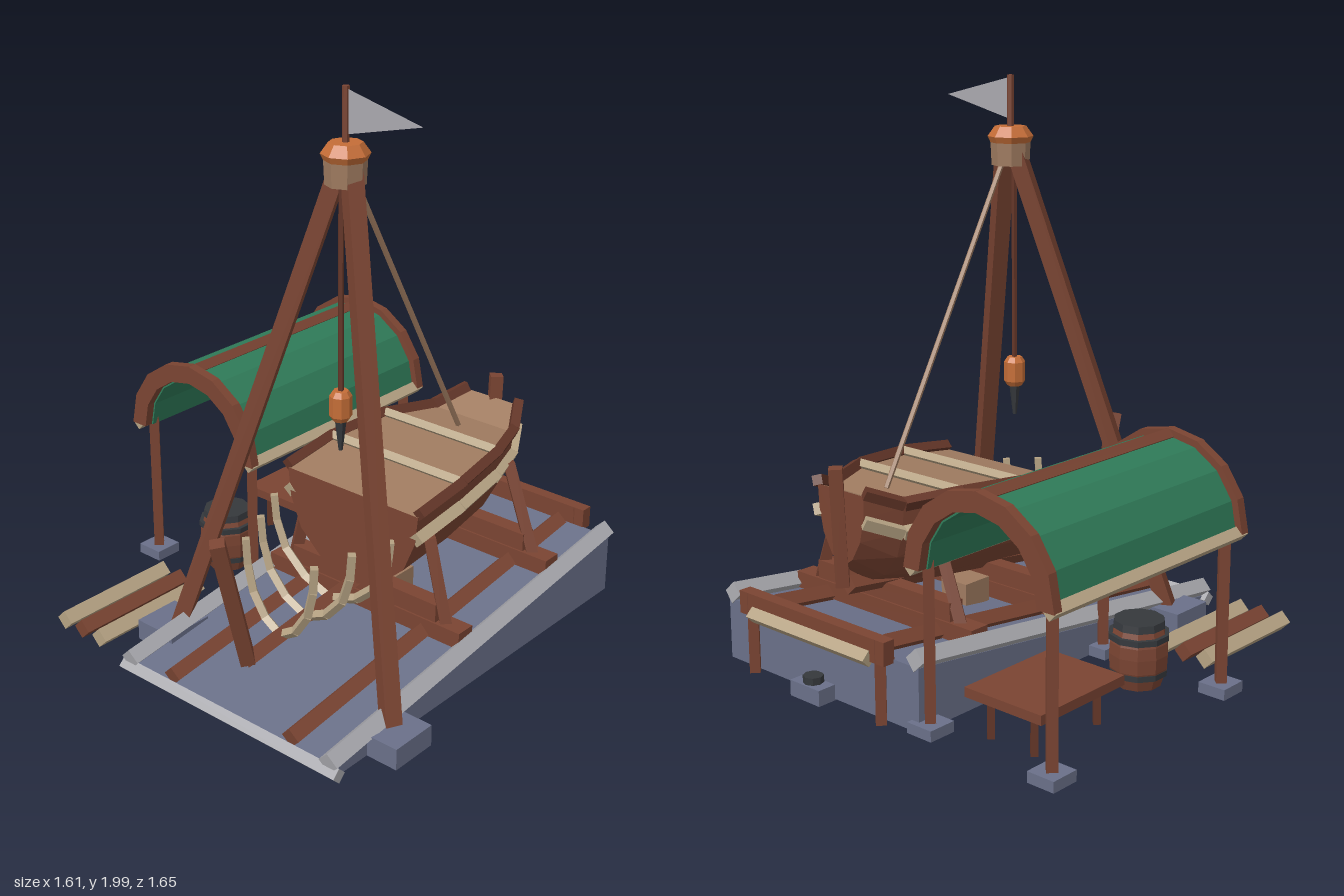
import * as THREE from 'three';

const mat = (name, hex) => {
  const m = new THREE.MeshStandardMaterial({ color: hex });
  m.name = name;
  return m;
};

export function createModel() {
  const wood = mat('red brown wood', 0x7a4432);
  const darkWood = mat('dark brown wood', 0x643628);
  const tan = mat('pale timber', 0xb5a283);
  const deckTan = mat('deck timber', 0x9f7b60);
  const stone = mat('blue grey stone', 0x6a7089);
  const pale = mat('pale grey', 0xa6a6ab);
  const green = mat('green canvas', 0x2f7a58);
  green.side = THREE.DoubleSide;
  const orange = mat('orange brass', 0xc46d37);
  const iron = mat('dark iron', 0x35383c);
  const cloth = mat('grey cloth', 0xa9a8ae);
  cloth.side = THREE.DoubleSide;

  const root = new THREE.Group();
  root.name = 'boatyard';
  const V = (x, y, z) => new THREE.Vector3(x, y, z);
  const CX = 0.23; // centre line of slipway and boat

  // Faceted mesh from any geometry
  function add(name, geo, m, x = 0, y = 0, z = 0) {
    const g = geo.index ? geo.toNonIndexed() : geo;
    g.computeVertexNormals();
    const mesh = new THREE.Mesh(g, m);
    mesh.name = name;
    mesh.position.set(x, y, z);
    root.add(mesh);
    return mesh;
  }
  // Box given by its limits
  const box = (name, x0, x1, y0, y1, z0, z1, m) =>
    add(name, new THREE.BoxGeometry(x1 - x0, y1 - y0, z1 - z0), m, (x0 + x1) / 2, (y0 + y1) / 2, (z0 + z1) / 2);
  // Four-sided timber between two points
  function beam(name, a, b, r, m, sides = 4) {
    const d = b.clone().sub(a);
    const mesh = add(name, new THREE.CylinderGeometry(r, r, d.length(), sides), m);
    mesh.position.copy(a).add(b).multiplyScalar(0.5);
    mesh.quaternion.setFromUnitVectors(V(0, 1, 0), d.normalize());
    return mesh;
  }
  const chain = (name, pts, r, m) => {
    for (let i = 0; i + 1 < pts.length; i++) beam(name, pts[i], pts[i + 1], r, m);
  };
  const drum = (name, rt, rb, y0, y1, x, z, m, sides = 8) =>
    add(name, new THREE.CylinderGeometry(rt, rb, y1 - y0, sides), m, x, (y0 + y1) / 2, z);

  // ---- Slipway ----
  const slopeY = z => 0.05 + (0.77 - z) * 0.126;
  const wedge = new THREE.Shape([[-0.77, 0.025], [0.755, 0.025], [0.755, slopeY(-0.755)], [-0.77, 0.05]]
    .map(p => new THREE.Vector2(...p)));
  const wedgeGeo = new THREE.ExtrudeGeometry(wedge, { depth: 0.92, bevelEnabled: false });
  wedgeGeo.rotateY(Math.PI / 2); // shape x becomes -z
  add('slipwayRamp', wedgeGeo, stone, CX - 0.46);
  for (const s of [-1, 1]) {
    beam('slipwayKerb', V(CX + s * 0.443, 0.075, 0.775), V(CX + s * 0.443, 0.265, -0.755), 0.038, pale);
    beam('slipwayRail', V(CX + s * 0.265, slopeY(0.75) + 0.02, 0.75), V(CX + s * 0.265, slopeY(-0.72) + 0.02, -0.72), 0.035, wood);
    beam('endPost', V(CX + s * 0.31, 0.02, -0.775), V(CX + s * 0.31, 0.31, -0.775), 0.025, wood);
  }
  beam('slipwaySill', V(CX - 0.48, 0.042, 0.765), V(CX + 0.48, 0.042, 0.765), 0.027, pale);
  box('endBeam', -0.12, 0.58, 0.23, 0.31, -0.798, -0.752, wood);
  beam('endFender', V(-0.055, 0.24, -0.8), V(0.515, 0.24, -0.8), 0.028, tan);
  box('mooringBlock', 0.16, 0.3, 0.02, 0.075, -0.825, -0.74, stone);
  drum('mooringBollard', 0.035, 0.035, 0.075, 0.1, CX, -0.785, iron);

  // ---- Cradle ----
  for (const [z, lift, topX, topY] of [[0.06, 0, 0.265, 0.5], [-0.44, 0.063, 0.225, 0.58]]) {
    box('cradleSleeper', CX - 0.425, CX + 0.425, 0.15 + lift, 0.21 + lift, z - 0.037, z + 0.037, wood);
    box('cradleBolster', CX - 0.32, CX + 0.32, 0.21 + lift, 0.275 + lift, z - 0.03, z + 0.03, wood);
    for (const s of [-1, 1])
      beam('cradleProp', V(CX + s * 0.345, 0.19 + lift, z), V(CX + s * topX, topY, z), 0.028, wood);
  }
  box('keelBlock', CX - 0.06, CX + 0.06, 0.15, 0.24, -0.12, 0, deckTan);

  // ---- Boat hull ----
  // Stations: z, half width, gunwale height, bottom height
  const stations = [
    [0.15, 0.285, 0.615, 0.27], [-0.08, 0.285, 0.645, 0.29], [-0.33, 0.25, 0.66, 0.315],
    [-0.53, 0.175, 0.65, 0.36], [-0.645, 0.11, 0.7, 0.44]];
  const profile = [[1, 1], [0.96, 0.7], [0.8, 0.38], [0.45, 0.12], [0.06, 0]];
  const half = ([z, w, top, low], s) => profile.map(([u, v]) => V(CX + s * u * w, low + v * (top - low), z));
  const rings = stations.map(st => [...half(st, 1), ...half(st, -1).reverse()]);
  const triangles = list => new THREE.BufferGeometry().setFromPoints(list);
  const skin = [], deck = [], last = rings[0].length - 1;
  for (let i = 0; i + 1 < rings.length; i++) {
    const a = rings[i], b = rings[i + 1];
    for (let j = 0; j < last; j++) skin.push(a[j], a[j + 1], b[j], a[j + 1], b[j + 1], b[j]);
    deck.push(a[0], b[0], a[last], b[0], b[last], a[last]);
  }
  const bow = rings[0], tail = rings[rings.length - 1];
  for (let j = 1; j < last; j++) skin.push(bow[0], bow[j + 1], bow[j], tail[0], tail[j], tail[j + 1]);
  add('hull', triangles(skin), wood);
  add('deck', triangles(deck), deckTan);
  for (const s of [-1, 1]) {
    chain('gunwale', stations.map(([z, w, t]) => V(CX + s * (w + 0.003), t + 0.012, z)), 0.024, darkWood);
    chain('rubbingStrake', stations.map(([z, w, t]) => V(CX + s * w * 0.98, t - 0.085, z)), 0.028, tan);
  }
  for (const i of [1, 2]) {
    const [z, w, t] = stations[i];
    beam('thwart', V(CX - w, t + 0.012, z), V(CX + w, t + 0.012, z), 0.02, tan);
  }
  // Keel, posts and bare ribs
  beam('keel', V(CX, 0.205, 0.66), V(CX, 0.365, -0.62), 0.033, wood);
  beam('stemPost', V(CX, 0.2, 0.66), V(CX, 0.68, 0.785), 0.034, wood);
  beam('sternPost', V(CX, 0.37, -0.645), V(CX, 0.78, -0.665), 0.032, wood);
  for (const rib of [[0.255, 0.255, 0.56, 0.26], [0.38, 0.2, 0.545, 0.245], [0.505, 0.15, 0.53, 0.23]])
    for (const s of [-1, 1]) chain('rib', half(rib, s), 0.018, tan);

  // ---- Hoisting frame ----
  for (const s of [-1, 1]) {
    beam('frameLeg', V(CX + s * 0.025, 1.74, 0.185), V(CX + s * 0.49, 0.025, 0.52), 0.04, wood);
    const x = CX + s * 0.495;
    box('frameFoot', x - 0.083, x + 0.083, 0.025, 0.1, 0.435, 0.61, stone);
  }
  drum('mastCollar', 0.07, 0.066, 1.69, 1.775, CX, 0.185, deckTan);
  drum('mastCapRim', 0.08, 0.068, 1.765, 1.79, CX, 0.185, orange);
  drum('mastCap', 0.055, 0.08, 1.79, 1.825, CX, 0.185, orange);
  beam('flagPole', V(CX, 1.8, 0.185), V(CX, 2, 0.185), 0.012, wood, 6);
  add('pennant', triangles([V(0.24, 1.85, 0.185), V(0.53, 1.92, 0.185), V(0.24, 1.99, 0.185)]), cloth);
  beam('hoistRope', V(CX, 1.7, 0.205), V(CX, 0.98, 0.205), 0.01, darkWood, 5);
  beam('backstayRope', V(CX, 1.69, 0.135), V(CX, 0.66, -0.44), 0.01, deckTan, 5);
  drum('pulleyBlock', 0.038, 0.038, 0.915, 0.985, CX, 0.205, orange);
  drum('pulleyTop', 0.026, 0.038, 0.985, 1.003, CX, 0.205, orange);
  drum('pulleyBottom', 0.038, 0.026, 0.897, 0.915, CX, 0.205, orange);
  drum('liftingHook', 0.02, 0.007, 0.79, 0.9, CX, 0.205, iron, 6);

  // ---- Shelter ----
  const SX = -0.5, SY = 0.575;
  function archGeometry(rOut, rIn, depth) {
    const pts = [];
    for (let i = 0; i <= 8; i++) pts.push(new THREE.Vector2(Math.cos(i * Math.PI / 8) * rOut, Math.sin(i * Math.PI / 8) * rOut));
    for (let i = 8; i >= 0; i--) pts.push(new THREE.Vector2(Math.cos(i * Math.PI / 8) * rIn, Math.sin(i * Math.PI / 8) * rIn));
    return new THREE.ExtrudeGeometry(new THREE.Shape(pts), { depth, bevelEnabled: false });
  }
  add('canopy', archGeometry(0.28, 0.232, 0.9), green, SX, SY, -0.747);
  for (const z of [-0.78, 0.15]) add('canopyArch', archGeometry(0.304, 0.238, 0.035), wood, SX, SY, z);
  beam('canopyRidge', V(SX, 0.855, -0.78), V(SX, 0.855, 0.185), 0.025, wood);
  for (const s of [-1, 1]) {
    beam('canopyEave', V(SX + s * 0.28, SY, -0.775), V(SX + s * 0.28, SY, 0.18), 0.026, tan);
    for (const z of [-0.725, 0.13]) {
      const x = SX + s * 0.25;
      beam('shelterPost', V(x, 0.05, z), V(x, 0.6, z), 0.025, wood);
      box('shelterFoot', x - 0.052, x + 0.052, 0.025, 0.062, z - 0.052, z + 0.052, stone);
    }
  }

  // ---- Workbench ----
  box('benchTop', -0.66, -0.345, 0.155, 0.188, -0.67, -0.27, wood);
  for (const x of [-0.59, -0.41]) for (const z of [-0.62, -0.32])
    beam('benchLeg', V(x, 0.02, z), V(x, 0.16, z), 0.017, darkWood);

  // ---- Barrel ----
  const staves = [[0, 0.025], [0.078, 0.025], [0.1, 0.09], [0.103, 0.14], [0.1, 0.18], [0.08, 0.245], [0, 0.245]];
  add('barrel', new THREE.LatheGeometry(staves.map(p => new THREE.Vector2(...p)), 10), wood, SX, 0, 0.01);
  for (const [r, y] of [[0.1, 0.065], [0.105, 0.19]]) drum('barrelHoop', r, r, y, y + 0.02, SX, 0.01, iron, 10);
  drum('barrelLid', 0.086, 0.09, 0.23, 0.255, SX, 0.01, iron, 10);

  // ---- Spare planks ----
  for (const [x, m] of [[-0.595, tan], [-0.505, wood], [-0.415, tan]])
    beam('sparePlank', V(x, 0.057, 0.255), V(x, 0.057, 0.735), 0.036, m);

  return root;
}
